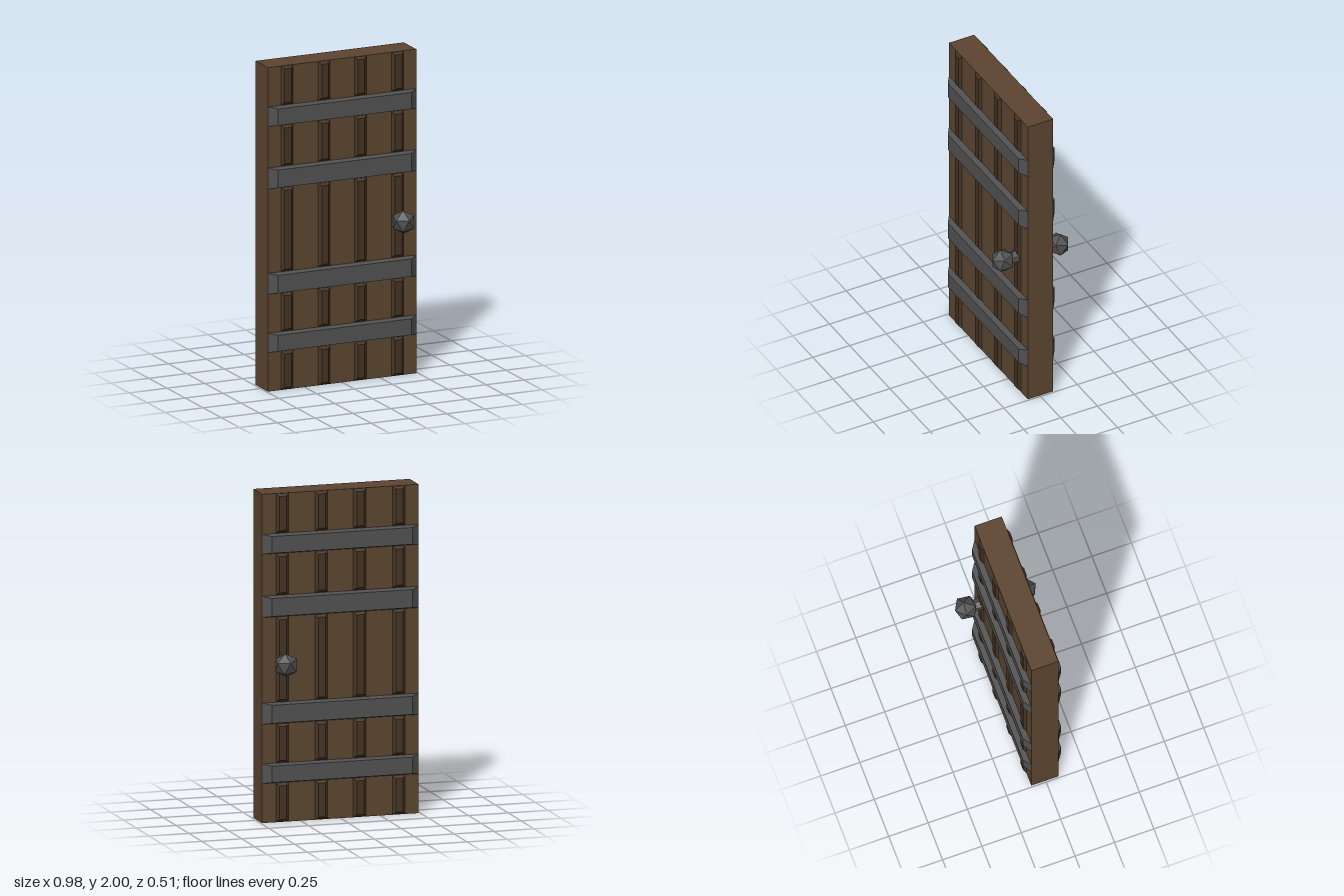
import * as THREE from 'three';

const wood = new THREE.MeshStandardMaterial({ color: 0x5c4530, flatShading: true });
const darkWood = new THREE.MeshStandardMaterial({ color: 0x443322, flatShading: true });
const iron = new THREE.MeshStandardMaterial({ color: 0x505050, flatShading: true });

const HALF = 0.086; // half thickness of the slab
const CENTRE_Z = -0.005;

function add(parent, name, geometry, material, x = 0, y = 0, z = 0) {
  const mesh = new THREE.Mesh(geometry, material);
  mesh.name = name;
  mesh.position.set(x, y, z);
  parent.add(mesh);
  return mesh;
}

// Box standing on z = 0 whose front face is inset on all sides
function bevelledPlate(w, h, d, insetX, insetY) {
  const g = new THREE.BoxGeometry(w, h, d).translate(0, 0, d / 2);
  const p = g.attributes.position;
  for (let i = 0; i < p.count; i++) {
    if (p.getZ(i) < d / 2) continue;
    p.setX(i, p.getX(i) - Math.sign(p.getX(i)) * insetX);
    p.setY(i, p.getY(i) - Math.sign(p.getY(i)) * insetY);
  }
  g.computeVertexNormals();
  return g;
}

// Faceted knob on a short neck, pointing along +z from the slab face
function createKnob() {
  const knob = new THREE.Group();
  knob.name = 'knob';
  const ball = new THREE.IcosahedronGeometry(0.075, 0);
  ball.rotateX(-0.87).rotateY(0.12).rotateZ(0.15);
  add(knob, 'knobBall', ball, iron, 0, 0, 0.099);
  const neck = new THREE.CylinderGeometry(0.03, 0.042, 0.07, 6).rotateX(Math.PI / 2);
  add(knob, 'knobNeck', neck, iron, 0.005, 0.003, 0.035);
  return knob;
}

// Battens, iron bands and knob of one face
function createFace(name, knobX) {
  const face = new THREE.Group();
  face.name = name;
  const bands = [[0.24, 0.36], [0.6, 0.73], [1.25, 1.38], [1.635, 1.757]];
  for (const [lo, hi] of bands) {
    add(face, 'ironBand', bevelledPlate(0.98, hi - lo, 0.035, 0.05, 0.01), iron, 0, (lo + hi) / 2, HALF);
  }
  const battens = [[0.002, 0.238], [0.362, 0.598], [0.732, 1.248], [1.382, 1.633], [1.759, 1.998]];
  for (const x of [-0.365, -0.12, 0.12, 0.365]) {
    for (const [lo, hi] of battens) {
      add(face, 'batten', bevelledPlate(0.08, hi - lo, 0.014, 0.018, 0.015), darkWood, x, (lo + hi) / 2, HALF);
    }
  }
  const knob = createKnob();
  knob.position.set(knobX, 0.972, HALF);
  face.add(knob);
  return face;
}

export function createModel() {
  const door = new THREE.Group();
  door.name = 'door';
  add(door, 'slab', new THREE.BoxGeometry(0.98, 2, HALF * 2), wood, 0, 1, CENTRE_Z);

  const front = createFace('frontFace', 0.358);
  front.position.z = CENTRE_Z;
  door.add(front);

  const back = createFace('backFace', -0.372);
  back.position.z = CENTRE_Z;
  back.rotation.y = Math.PI;
  door.add(back);
  return door;
}
